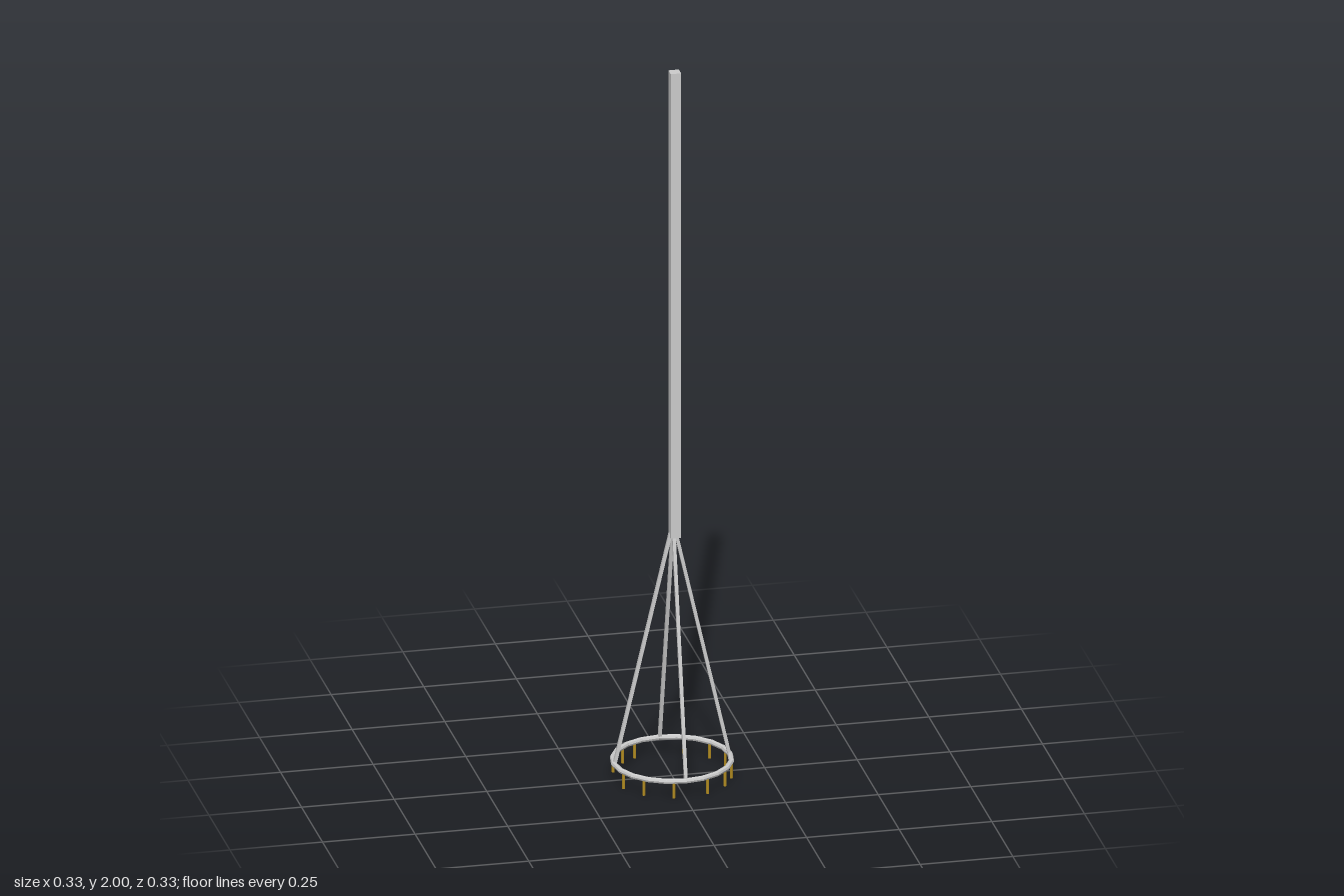
import * as THREE from 'three';

const RING_R = 0.157, RING_Y = 0.047;

export function createModel() {
  const group = new THREE.Group();
  const grey = new THREE.MeshStandardMaterial({ color: 0xcccccc, flatShading: true });
  const brass = new THREE.MeshStandardMaterial({ color: 0xb08a20, flatShading: true });

  const add = (name, geometry, material) => {
    const mesh = new THREE.Mesh(geometry, material);
    mesh.name = name;
    group.add(mesh);
    return mesh;
  };

  // Square bar running from start to end
  const bar = (name, start, end, width) => {
    const dir = end.clone().sub(start);
    const mesh = add(name, new THREE.BoxGeometry(width, dir.length(), width), grey);
    mesh.position.copy(start).add(end).multiplyScalar(0.5);
    mesh.quaternion.setFromUnitVectors(new THREE.Vector3(0, 1, 0), dir.normalize());
  };

  // Long square shaft, slightly off the ring's axis
  const shaft = add('shaft', new THREE.BoxGeometry(0.028, 1.32, 0.028), grey);
  shaft.position.set(0.007, 1.34, 0.002);

  // Faceted ring lying flat
  const ring = add('ring', new THREE.TorusGeometry(RING_R, 0.0075, 8, 20).rotateX(Math.PI / 2), grey);
  ring.position.y = RING_Y;

  // Four sloping struts joining the shaft to the ring
  for (const [name, x, z] of [['leftStrut', 1, 0], ['rightStrut', -1, 0], ['frontStrut', 0, 1], ['backStrut', 0, -1]]) {
    const offset = z ? 0.002 : 0;
    bar(name,
      new THREE.Vector3(x * 0.155 + offset, RING_Y, z * 0.156),
      new THREE.Vector3(x * 0.007 + 0.003, 0.69, z * 0.007), 0.009);
  }

  // Unevenly spaced pins hanging below the ring, angles measured from +x towards +z
  const pinAngles = [66, 40, 19, -14, -38, -66, -116, -133, -158, 157, 131, 101];
  const pinGeometry = new THREE.CylinderGeometry(0.004, 0.004, RING_Y, 8);
  for (const degrees of pinAngles) {
    const a = THREE.MathUtils.degToRad(degrees);
    const pin = add('pin', pinGeometry, brass);
    pin.position.set(RING_R * Math.cos(a), RING_Y / 2, RING_R * Math.sin(a));
  }

  return group;
}
